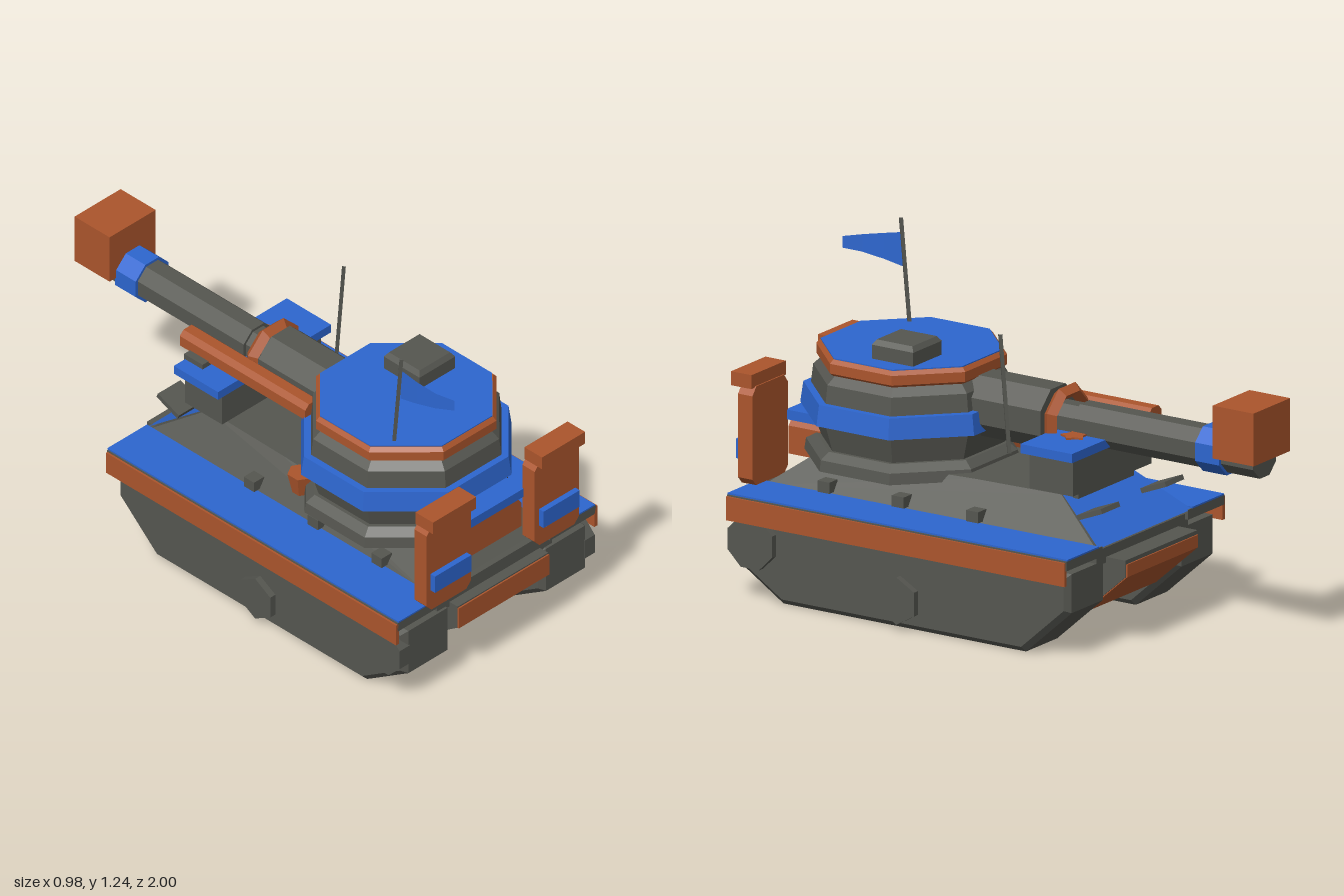
import * as THREE from 'three';
import { ConvexGeometry } from 'three/addons/geometries/ConvexGeometry.js';

const mat = (name, color, extra) => Object.assign(new THREE.MeshStandardMaterial({ color, ...extra }), { name });

export function createModel() {
  const gray = mat('steel gray', 0x555650);
  const orange = mat('rust orange', 0xab552c);
  const blue = mat('bright blue', 0x2d66cf);
  blue.side = THREE.DoubleSide;
  const model = new THREE.Group();
  model.name = 'tank';

  // Adds a faceted mesh
  const add = (name, geo, material, x = 0, y = 0, z = 0) => {
    const g = geo.index ? geo.toNonIndexed() : geo;
    g.computeVertexNormals();
    const m = new THREE.Mesh(g, material);
    m.name = name;
    m.position.set(x, y, z);
    model.add(m);
    return m;
  };
  // Box given by its limits
  const box = (name, material, x0, x1, y0, y1, z0, z1) =>
    add(name, new THREE.BoxGeometry(x1 - x0, y1 - y0, z1 - z0), material, (x0 + x1) / 2, (y0 + y1) / 2, (z0 + z1) / 2);
  // Extruded outline with chamfered rims, centred on its depth
  const extrude = (pts, w, b) => new THREE.ExtrudeGeometry(new THREE.Shape(pts.map(p => new THREE.Vector2(...p))), {
    depth: w - 2 * b, bevelEnabled: b > 0, bevelThickness: b, bevelSize: b, bevelOffset: -b, bevelSegments: 1,
  }).translate(0, 0, b - w / 2);
  // Outline in (z, y), swept across x
  const sideProfile = (pts, w, b = 0) => extrude(pts, w, b).rotateY(-Math.PI / 2);
  // Octagonal frustum given by flat-to-centre distances, upright or along z
  const oct = (top, bottom, h) => new THREE.CylinderGeometry(top / Math.cos(Math.PI / 8), bottom / Math.cos(Math.PI / 8), h, 8)
    .rotateY(Math.PI / 8);
  const octZ = (r, h) => oct(r, r, h).rotateX(Math.PI / 2);
  // Thin rod between two points
  const rod = (name, a, b, r) => {
    const path = new THREE.LineCurve3(new THREE.Vector3(...a), new THREE.Vector3(...b));
    return add(name, new THREE.TubeGeometry(path, 1, r, 4), gray);
  };

  // Lower hull with end plates
  add('lowerHull', sideProfile([[0.97, 0.32], [0.97, 0.23], [0.8, 0.11], [-0.37, 0.11], [-0.54, 0.26], [-0.54, 0.32]], 0.44), gray);
  box('frontPlate', orange, -0.22, 0.22, 0.23, 0.315, 0.968, 0.976);
  add('rearPlate', sideProfile([[-0.37, 0.105], [-0.545, 0.26], [-0.545, 0.305], [-0.538, 0.305], [-0.538, 0.262], [-0.368, 0.112]], 0.43), orange);
  box('hullDeck', gray, -0.28, 0.28, 0.3, 0.37, -0.46, 0.93);

  // Sloped upper hull
  const hullPts = [];
  for (const s of [-1, 1]) for (const p of [[0.29, 0.36, 0.92], [0.29, 0.36, -0.47], [0.2, 0.505, -0.26], [0.2, 0.5, 0.1], [0.2, 0.48, 0.76]])
    hullPts.push(new THREE.Vector3(s * p[0], p[1], p[2]));
  add('upperHull', new ConvexGeometry(hullPts), gray);
  const deck = new THREE.BufferGeometry();
  deck.setAttribute('position', new THREE.Float32BufferAttribute([
    0.2, 0.51, -0.262, -0.2, 0.51, -0.262, -0.285, 0.367, -0.473, 0.285, 0.367, -0.473], 3));
  deck.setIndex([0, 2, 1, 0, 3, 2]);
  add('rearDeck', deck, blue);

  for (const s of [-1, 1]) {
    const sideBox = (name, m, x0, x1, ...r) => box(name, m, Math.min(s * x0, s * x1), Math.max(s * x0, s * x1), ...r);
    // Tracks and wheel hubs
    add('track', sideProfile([[0.74, 0], [0.94, 0.13], [0.94, 0.31], [-0.46, 0.31], [-0.46, 0.17], [-0.27, 0]], 0.23, 0.02), gray, s * 0.335);
    for (const [z, y, r, n] of [[0.85, 0.21, 0.1, 8], [0.24, 0.105, 0.085, 6]])
      add('wheelHub', new THREE.CylinderGeometry(r, r, 0.05, n).rotateY(n === 6 ? Math.PI / 2 : Math.PI / 8).rotateZ(Math.PI / 2), gray, s * 0.45, y, z);
    // Fender, skirt and side bolts
    sideBox('fender', gray, 0.26, 0.482, 0.335, 0.37, -0.473, 0.94);
    sideBox('fenderTop', blue, 0.285, 0.478, 0.37, 0.376, -0.475, 0.94);
    sideBox('sideSkirt', orange, 0.475, 0.49, 0.28, 0.365, -0.47, 0.94);
    for (const z of [0.66, 0.35, 0.04]) add('sideBolt', new THREE.BoxGeometry(0.05, 0.04, 0.05), gray, s * 0.28, 0.4, z);
    // Front pillars
    add('pillar', extrude([[-0.108, 0.4], [-0.085, 0.375], [0.085, 0.375], [0.108, 0.4], [0.108, 0.7], [0.085, 0.73], [-0.085, 0.73], [-0.108, 0.7]], 0.06, 0), orange, s * 0.263, 0, 0.94);
    sideBox('pillarCap', orange, 0.16, 0.37, 0.725, 0.775, 0.915, 1);
    sideBox('pillarPanel', blue, 0.176, 0.352, 0.46, 0.53, 0.965, 0.992);
    // Rear flaps
    add('rearFlap', new THREE.BoxGeometry(0.11, 0.018, 0.11), gray, s * 0.195, 0.47, -0.41).rotation.x = 0.38;
  }

  // Front stowage between the pillars
  add('frontBin', extrude([[-0.15, 0.44], [0.15, 0.44], [0.15, 0.54], [0.13, 0.567], [-0.13, 0.567], [-0.15, 0.54]], 0.14, 0), orange, 0, 0, 0.84);
  box('frontShelf', blue, -0.16, 0.16, 0.565, 0.6, 0.78, 0.915);

  // Turret layers: name, material, top, bottom, y0, y1
  const layers = [
    ['turretBase', gray, 0.345, 0.35, 0.47, 0.51],
    ['turretBaseRim', gray, 0.315, 0.345, 0.51, 0.535],
    ['turretLower', gray, 0.33, 0.3, 0.53, 0.64],
    ['turretBand', blue, 0.352, 0.362, 0.635, 0.71],
    ['turretUpper', gray, 0.32, 0.335, 0.64, 0.775],
    ['turretShoulder', gray, 0.285, 0.32, 0.775, 0.81],
    ['lidRim', orange, 0.31, 0.31, 0.815, 0.85],
    ['lidUnderside', orange, 0.31, 0.298, 0.805, 0.815],
    ['lidBevel', orange, 0.298, 0.31, 0.85, 0.864],
    ['lidTop', blue, 0.296, 0.296, 0.861, 0.868],
  ];
  for (const [name, m, t, b, y0, y1] of layers) add(name, oct(t, b, y1 - y0), m, 0, (y0 + y1) / 2, 0.5);

  // Hatch with a chamfered top
  box('hatch', gray, 0.052, 0.226, 0.865, 0.918, 0.34, 0.512);
  add('hatchTop', new THREE.CylinderGeometry(0.105, 0.123, 0.018, 4).rotateY(Math.PI / 4), gray, 0.139, 0.927, 0.426);

  // Gun
  add('gunMantlet', octZ(0.108, 0.34), gray, 0, 0.71, 0.06);
  add('gunSleeve', octZ(0.06, 0.16), gray, 0, 0.71, -0.17);
  add('gunBarrel', octZ(0.07, 0.75), gray, 0, 0.71, -0.595);
  add('muzzleCollar', octZ(0.08, 0.1), blue, 0, 0.71, -0.785);
  box('muzzleBlock', orange, -0.112, 0.112, 0.71, 0.9, -1, -0.83);
  add('gunHoop', new THREE.TorusGeometry(0.107, 0.026, 4, 8).rotateZ(Math.PI / 8), orange, 0, 0.705, -0.147);
  add('sideRod', extrude([[-0.038, -0.02], [-0.02, -0.038], [0.02, -0.038], [0.038, -0.02], [0.038, 0.02], [0.02, 0.038], [-0.02, 0.038], [-0.038, 0.02]], 0.61, 0), orange, -0.153, 0.72, -0.105);

  // Gun rest
  box('restBase', gray, -0.17, 0.17, 0.49, 0.53, -0.31, -0.18);
  box('restBox', gray, -0.24, 0.24, 0.52, 0.655, -0.335, -0.155);
  box('restPlate', blue, -0.275, 0.275, 0.652, 0.685, -0.355, -0.14);
  box('restClip', gray, -0.22, -0.18, 0.68, 0.705, -0.36, -0.27);
  const star = Array.from({ length: 10 }, (_, i) => {
    const r = i % 2 ? 0.032 : 0.05, a = i * Math.PI / 5;
    return [r * Math.cos(a), r * Math.sin(a)];
  });
  add('restKnob', extrude(star, 0.008, 0).rotateX(-Math.PI / 2), orange, 0.1, 0.688, -0.245);

  // Side pot on the hull
  add('sidePot', new THREE.CylinderGeometry(0.05, 0.032, 0.08, 6), orange, -0.26, 0.5, 0.25);

  // Antennas and flag
  rod('flagAntenna', [-0.215, 0.85, 0.655], [-0.215, 1.235, 0.692], 0.009);
  rod('rearAntenna', [0.21, 0.62, -0.05], [0.21, 1.042, -0.012], 0.009);
  const flagPos = [], flagIdx = [];
  [[0.685, -0.214, 1.183, 1.06], [0.76, -0.21, 1.168, 1.075], [0.84, -0.197, 1.153, 1.09], [0.905, -0.17, 1.142, 1.1]].forEach(([z, x, t, b], i) => {
    flagPos.push(x, t, z, x, b, z);
    if (i) { const k = 2 * i; flagIdx.push(k - 2, k, k - 1, k - 1, k, k + 1); }
  });
  const flag = new THREE.BufferGeometry();
  flag.setAttribute('position', new THREE.Float32BufferAttribute(flagPos, 3));
  flag.setIndex(flagIdx);
  add('flag', flag, blue);

  return model;
}
